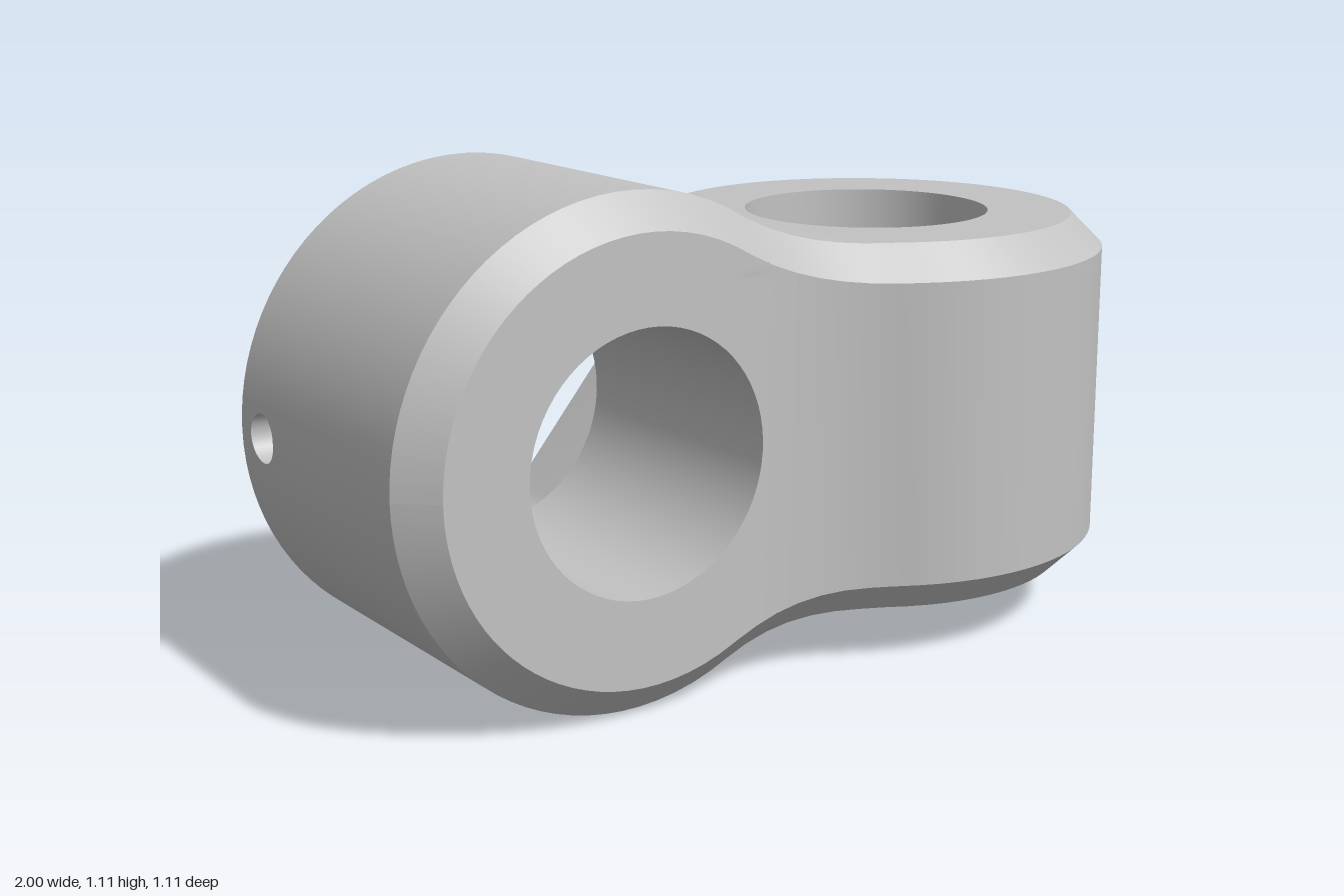
import * as THREE from 'three';
import { toCreasedNormals } from 'three/addons/utils/BufferGeometryUtils.js';

const R = 0.555, CX = -0.445, BORE = 0.287, CH = 0.075, FIL = 0.65;
const OFF_T = 0.395, OFF_B = 0.435, FLOOR = -0.25, CHAMBER = 0.19, N = 64;
const V = (x, y, z) => new THREE.Vector3(x, y, z);
const P = (x, y) => new THREE.Vector2(CX + x, y); // relative to the bore axis

// Half height and outward normal of the barrel profile: circle, fillet, flat arm
function profile(x, off) {
  x = Math.min(1, Math.max(-1, x));
  const xc = CX + Math.sqrt((R + FIL) ** 2 - (off + FIL) ** 2);
  const xt = CX + (xc - CX) * R / (R + FIL);
  if (x < xt) {
    const h = Math.sqrt(Math.max(0, R * R - (x - CX) ** 2));
    return { h, nx: (x - CX) / R, nh: h / R };
  }
  if (x < xc) {
    const d = Math.sqrt(FIL * FIL - (xc - x) ** 2);
    return { h: off + FIL - d, nx: (xc - x) / FIL, nh: d / FIL };
  }
  return { h: off, nx: 0, nh: 1 };
}
const offset = (s) => (s > 0 ? OFF_T : OFF_B);
const height = (x, sy) => profile(x, offset(sy));
const width = (x, sz) => { const p = profile(-x, offset(sz)); return { h: p.h, nx: -p.nx, nh: p.nh }; };

// Both edges of the chamfer along one corner of the body
const xs = Array.from({ length: N + 1 }, (_, i) => -Math.cos(Math.PI * i / N));
function corner(sy, sz) {
  const wallEdge = [], faceEdge = [];
  for (const x of xs) {
    const h = height(x, sy), w = width(x, sz);
    const xa = x - CH * w.nx, xb = x - CH * h.nx;
    wallEdge.push(V(xa, sy * height(xa, sy).h, sz * (w.h - CH * w.nh)));
    faceEdge.push(V(xb, sy * (h.h - CH * h.nh), sz * width(xb, sz).h));
  }
  return { wallEdge, faceEdge };
}
const corners = { tf: corner(1, 1), tb: corner(1, -1), bf: corner(-1, 1), bb: corner(-1, -1) };

// Stations where the flat end faces hand over to the other ring's curved wall
const K_FRONT = 31, K_BACK = 33;

// Surface between two rows of points
function ribbon(a, b, out = []) {
  for (let i = 0; i < a.length - 1; i++) out.push(a[i], b[i], b[i + 1], a[i], b[i + 1], a[i + 1]);
  return out;
}
const surface = (pts) => new THREE.BufferGeometry().setFromPoints(pts);

// Closed outline through corner points, each rounded off
function rounded(points) {
  const c = points.map(([x, y]) => P(x, y));
  return c.flatMap((p, i) => {
    const toward = (q) => p.clone().add(q.clone().sub(p).setLength(0.06));
    const prev = c[(i + c.length - 1) % c.length], next = c[(i + 1) % c.length];
    return new THREE.QuadraticBezierCurve(toward(prev), p, toward(next)).getPoints(6);
  });
}
// Points on a circle; side -1 mirrors it left to right
function arc(x, y, r, t0, t1, n, side = 1) {
  return Array.from({ length: n + 1 }, (_, i) => {
    const a = t0 + (t1 - t0) * i / n;
    return P(x + side * r * Math.cos(a), y + r * Math.sin(a));
  });
}
// Face with holes, refined where it runs onto the curved neck
function plate(outline, holes, zAt) {
  const s = new THREE.Shape(outline);
  holes.forEach((h) => s.holes.push(new THREE.Path(h)));
  const p = new THREE.ShapeGeometry(s).toNonIndexed().attributes.position, out = [];
  const split = (a, b, c, level) => {
    if (level === 0 || Math.max(a.x, b.x, c.x) < -0.16) { out.push(a, b, c); return; }
    const mid = (u, v) => u.clone().lerp(v, 0.5);
    const ab = mid(a, b), bc = mid(b, c), ca = mid(c, a);
    [[a, ab, ca], [ab, b, bc], [ca, bc, c], [ab, bc, ca]].forEach((t) => split(...t, level - 1));
  };
  const at = (i) => new THREE.Vector3().fromBufferAttribute(p, i);
  for (let i = 0; i < p.count; i += 3) split(at(i), at(i + 1), at(i + 2), 3);
  return surface(out.map((v) => V(v.x, v.y, zAt(v.x))));
}
// Straight wall along an outline
const wallAlong = (line, z0, z1) =>
  ribbon(line.map((p) => V(p.x, p.y, z0(p.x))), line.map((p) => V(p.x, p.y, z1)));

// Curved barrel wall with drilled holes: { m: station, z, step: arc per station, r, dir }
function barrelWall(holes) {
  const row = (t, b) => [...t.wallEdge.slice(0, N - K_FRONT + 1).reverse(), ...b.wallEdge.slice(1, N - K_BACK + 1)];
  const front = row(corners.tf, corners.bf), back = row(corners.tb, corners.bb);
  const at = (s, z) => {
    const i = Math.min(Math.floor(s), front.length - 2);
    return front[i].clone().lerp(front[i + 1], s - i).setZ(z);
  };
  const pts = [], bores = [], span = 2, half = 0.08;
  for (let i = 0; i < front.length - 1; i++) {
    const hole = holes.find((h) => i >= h.m - span && i < h.m + span);
    if (!hole) { ribbon([front[i], front[i + 1]], [back[i], back[i + 1]], pts); continue; }
    const line = (z) => [at(i, z), at(i + 1, z)];
    ribbon([front[i], front[i + 1]], line(hole.z + half), pts);
    ribbon(line(hole.z - half), [back[i], back[i + 1]], pts);
  }
  for (const h of holes) {
    const rim = [], frame = [], deep = [];
    for (let j = 0; j <= 32; j++) {
      const a = 2 * Math.PI * j / 32, c = Math.cos(a), s = Math.sin(a), k = Math.max(Math.abs(c), Math.abs(s));
      rim.push(at(h.m + h.r * c / h.step, h.z + h.r * s));
      frame.push(at(h.m + span * c / k, h.z + half * s / k));
      deep.push(rim[j].clone().addScaledVector(h.dir, 0.14));
    }
    ribbon(rim, frame, pts);
    ribbon(rim, deep, bores);
  }
  return { wall: surface(pts), bores: surface(bores) };
}

export function createModel() {
  const grey = new THREE.MeshStandardMaterial({ color: 0xc2c2c2, side: THREE.DoubleSide });
  grey.name = 'grey metal';
  const add = (parent, name, geo) => {
    const mesh = new THREE.Mesh(toCreasedNormals(geo, 0.5), grey);
    mesh.name = name;
    parent.add(mesh);
    return mesh;
  };

  // One clamp ring: barrel wall, end faces, bore, rear pocket and nut chamber
  function clampHalf(name, { drilled, pocketCorners, pins, posts, slot }) {
    const g = new THREE.Group();
    g.name = name;
    const { wall, bores } = barrelWall(drilled);
    add(g, 'barrelWall', wall);
    if (drilled.length) add(g, 'screwHoles', bores);

    // Bore circle, divided where the nut chamber opens into it
    const { side, lo, hi, out } = slot;
    const t0 = Math.asin(lo / BORE), t1 = Math.asin(hi / BORE);
    const inner = arc(0, 0, BORE, t0, t1, 12, side), outer = arc(0, 0, BORE, t1, t0 + 2 * Math.PI, 60, side);
    const low = P(side * out, lo), high = P(side * out, hi);
    add(g, 'bore', surface([...wallAlong(inner, () => OFF_T, CHAMBER), ...wallAlong(outer, () => OFF_T, FLOOR)]));
    add(g, 'chamberWall', surface(wallAlong([inner[0], low, high, inner[12]], () => FLOOR, CHAMBER)));
    add(g, 'chamberFloor', plate([...inner, high, low], [], () => CHAMBER));

    const outline = (t, b, k) => [...t.faceEdge.slice(0, k + 1).reverse(), ...b.faceEdge.slice(1, k + 1)]
      .map((p) => new THREE.Vector2(p.x, p.y));
    const pocket = rounded(pocketCorners);
    const backZ = (x) => -width(x, -1).h;
    const boreRim = [...inner.slice(1), ...outer.slice(1)];
    add(g, 'frontFace', plate(outline(corners.tf, corners.bf, K_FRONT), [boreRim], (x) => width(x, 1).h));
    add(g, 'backFace', plate(outline(corners.tb, corners.bb, K_BACK), [pocket], backZ));
    add(g, 'pocketWall', surface(wallAlong([...pocket, pocket[0]], backZ, FLOOR)));

    const pinRims = pins.map(([x, y]) => arc(x, y, 0.034, 0, 2 * Math.PI, 20));
    const floorHoles = [[...outer, low, high], ...pinRims.map((r) => r.slice(1))];
    add(g, 'pocketFloor', plate(pocket, floorHoles, () => FLOOR));
    pinRims.forEach((r) => add(g, 'pinHole', surface(wallAlong(r, () => FLOOR, FLOOR + 0.12))));
    posts.forEach(([x, y]) => {
      add(g, 'nutPost', new THREE.BoxGeometry(0.08, 0.05, 0.1)).position.set(CX + x, y, FLOOR - 0.05);
    });
    return g;
  }

  const model = new THREE.Group();
  model.name = 'crossClamp';
  const body = new THREE.Group();
  body.name = 'clampBody';
  body.position.y = R;
  model.add(body);

  // Screw holes: one at the outer end, one slanting in from under the neck
  const tip = N - K_FRONT;
  body.add(clampHalf('horizontalRing', {
    drilled: [
      { m: tip, z: -0.26, step: 0.0366, r: 0.055, dir: V(1, 0, 0) },
      { m: tip + 29, z: 0, step: 0.052, r: 0.058, dir: V(0.6, 0.8, 0) },
    ],
    pocketCorners: [[0.47, 0.08], [-0.16, 0.44], [-0.455, 0], [-0.36, -0.305], [0.14, -0.31]],
    pins: [[0.35, 0.09], [-0.15, 0.365]],
    posts: [[-0.385, 0], [-0.37, -0.11]],
    slot: { side: -1, lo: -0.17, hi: 0.06, out: 0.38 },
  }));

  // The second ring is built alike and turned half round about the diagonal axis
  const second = clampHalf('verticalRing', {
    drilled: [],
    pocketCorners: [[0.49, 0.16], [-0.14, 0.34], [-0.44, 0.05], [-0.38, -0.26], [0.16, -0.36]],
    pins: [[0.41, 0.11]],
    posts: [[0.36, -0.045], [0.38, 0.04]],
    slot: { side: 1, lo: -0.06, hi: 0.08, out: 0.34 },
  });
  second.quaternion.setFromAxisAngle(V(0, 1, 1).normalize(), Math.PI);
  body.add(second);

  // Chamfers along the four long corners
  for (const c of Object.values(corners)) add(body, 'chamfer', surface(ribbon(c.wallEdge, c.faceEdge)));

  return model;
}
